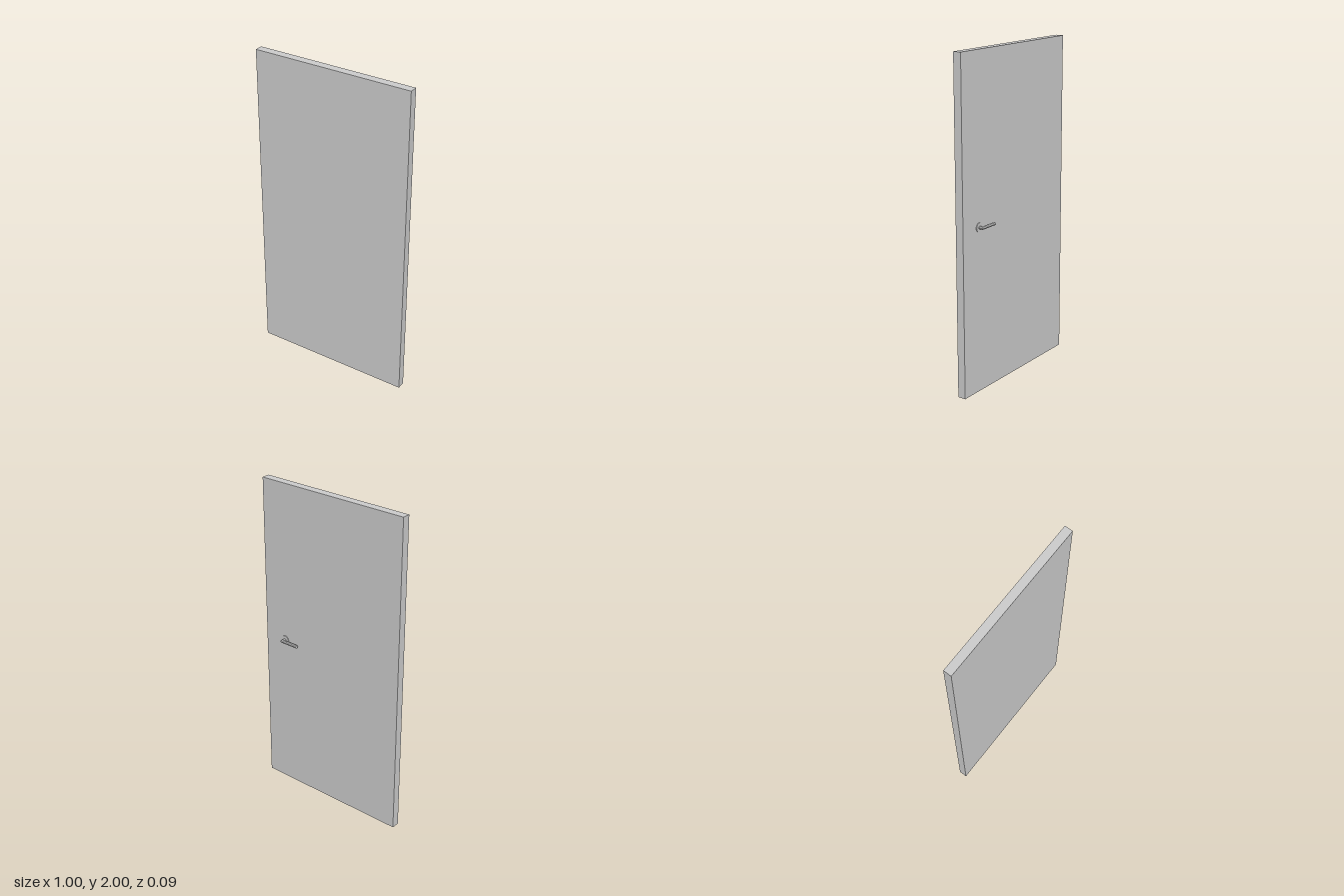
import * as THREE from 'three';

const material = new THREE.MeshStandardMaterial({ color: 0xcccccc, flatShading: true });

function addPart(parent, name, geometry) {
  const mesh = new THREE.Mesh(geometry, material);
  mesh.name = name;
  parent.add(mesh);
  return mesh;
}

// Mitred L-shaped bar: shank runs along -z, then the lever along -x
function leverGeometry(x, y, zBase, zLever, xEnd, r, sides) {
  const positions = [];
  const index = [];
  const sections = [
    (c, s) => [x + c, y + s, zBase],
    (c, s) => [x + c, y + s, zLever - c], // mitre at the corner
    (c, s) => [xEnd, y + s, zLever - c],
  ];
  for (const section of sections) {
    for (let j = 0; j < sides; j++) {
      const a = (j / sides) * Math.PI * 2;
      positions.push(...section(r * Math.cos(a), r * Math.sin(a)));
    }
  }
  const tip = positions.length / 3;
  positions.push(xEnd, y, zLever);
  for (let j = 0; j < sides; j++) {
    const k = (j + 1) % sides;
    for (let i = 0; i < 2; i++) {
      const a = i * sides, b = a + sides;
      index.push(a + j, b + j, a + k, b + j, b + k, a + k);
    }
    index.push(tip, 2 * sides + k, 2 * sides + j); // end cap
  }
  const indexed = new THREE.BufferGeometry();
  indexed.setAttribute('position', new THREE.Float32BufferAttribute(positions, 3));
  indexed.setIndex(index);
  const geometry = indexed.toNonIndexed();
  geometry.computeVertexNormals();
  return geometry;
}

export function createModel() {
  const group = new THREE.Group();
  group.name = 'door';

  // Plain slab
  const panel = addPart(group, 'doorPanel', new THREE.BoxGeometry(1, 2, 0.05));
  panel.position.set(0, 1, 0.0175);

  // Handle on the back face
  const handle = new THREE.Group();
  handle.name = 'handle';
  group.add(handle);

  const rose = addPart(handle, 'handleRose', new THREE.CylinderGeometry(0.028, 0.028, 0.005, 24));
  rose.rotation.x = Math.PI / 2;
  rose.position.set(0.352, 1, -0.0095);

  addPart(handle, 'handleLever', leverGeometry(0.352, 1, -0.008, -0.0325, 0.238, 0.01, 8));

  return group;
}
